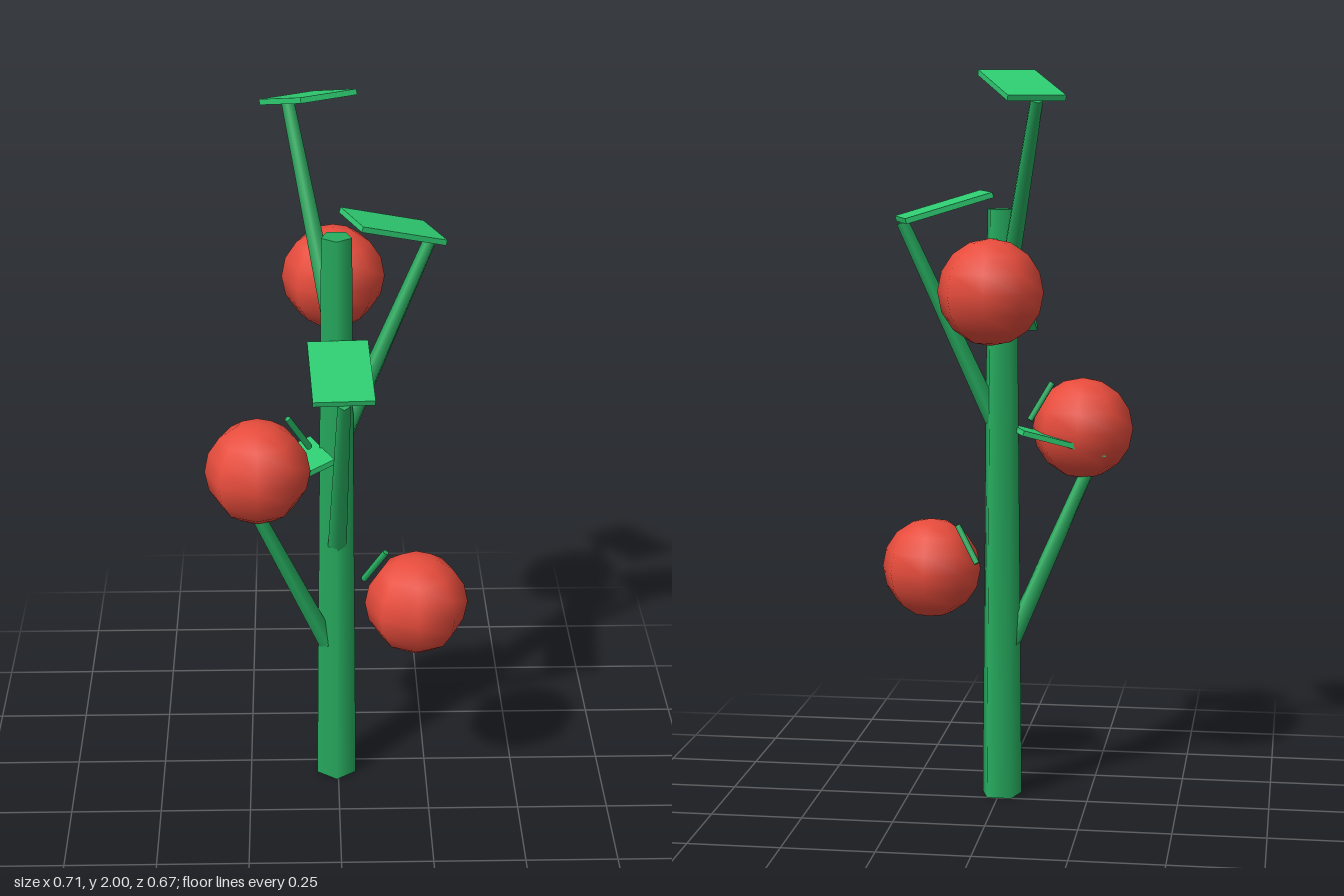
import * as THREE from 'three';

const AXIS = new THREE.Vector3(-0.005, 0, 0.045);
const UP = new THREE.Vector3(0, 1, 0);

const stemMat = new THREE.MeshStandardMaterial({ color: 0x27ae60 });
const leafMat = new THREE.MeshStandardMaterial({ color: 0x2ecc71 });
const fruitMat = new THREE.MeshStandardMaterial({ color: 0xe74c3c });

function add(parent, name, geometry, material) {
  const mesh = new THREE.Mesh(geometry, material);
  mesh.name = name;
  parent.add(mesh);
  return mesh;
}

// Tapered rod between two points
function rod(parent, name, from, to, r0, r1, sides) {
  const dir = to.clone().sub(from);
  const mesh = add(parent, name, new THREE.CylinderGeometry(r1, r0, dir.length(), sides), stemMat);
  mesh.position.copy(from).add(to).multiplyScalar(0.5);
  mesh.quaternion.setFromUnitVectors(UP, dir.normalize());
}

// Group on the plant axis whose local +z points outward at the given angle
function spoke(parent, name, degrees, y) {
  const g = new THREE.Group();
  g.name = name;
  g.position.set(AXIS.x, y, AXIS.z);
  g.rotation.y = THREE.MathUtils.degToRad(degrees);
  parent.add(g);
  return g;
}

const at = (y, z) => new THREE.Vector3(0, y, z);

export function createModel() {
  const model = new THREE.Group();
  model.name = 'fruitPlant';

  // Five-sided main stem
  const stem = add(model, 'stem', new THREE.CylinderGeometry(0.042, 0.058, 1.63, 5), stemMat);
  stem.position.set(AXIS.x, 0.815, AXIS.z);

  // Branches spiralling up, each with a leaf folded back toward the stem
  [-67, 3, 110, 207].forEach((angle, i) => {
    const g = spoke(model, 'leafBranch', angle, 0.955 + 0.3215 * i);
    rod(g, 'branch', at(-0.54, 0.02), at(0, 0.27), 0.027, 0.018, 5);
    const leaf = add(g, 'leaf', new THREE.BoxGeometry(0.16, 0.015, 0.245), leafMat);
    leaf.position.set(0, 0.039, 0.158);
    leaf.rotation.x = 0.28;
  });

  // Round fruits with short stalks
  [[61, 0.615], [-59, 1.02], [181, 1.425]].forEach(([angle, y]) => {
    const g = spoke(model, 'fruitCluster', angle, y);
    rod(g, 'fruitStalk', at(0.03, 0.085), at(0.13, 0.152), 0.009, 0.009, 6);
    const fruit = add(g, 'fruit', new THREE.SphereGeometry(0.14, 8, 8), fruitMat);
    fruit.position.z = 0.246;
    fruit.rotation.y = -g.rotation.y;
  });

  return model;
}
